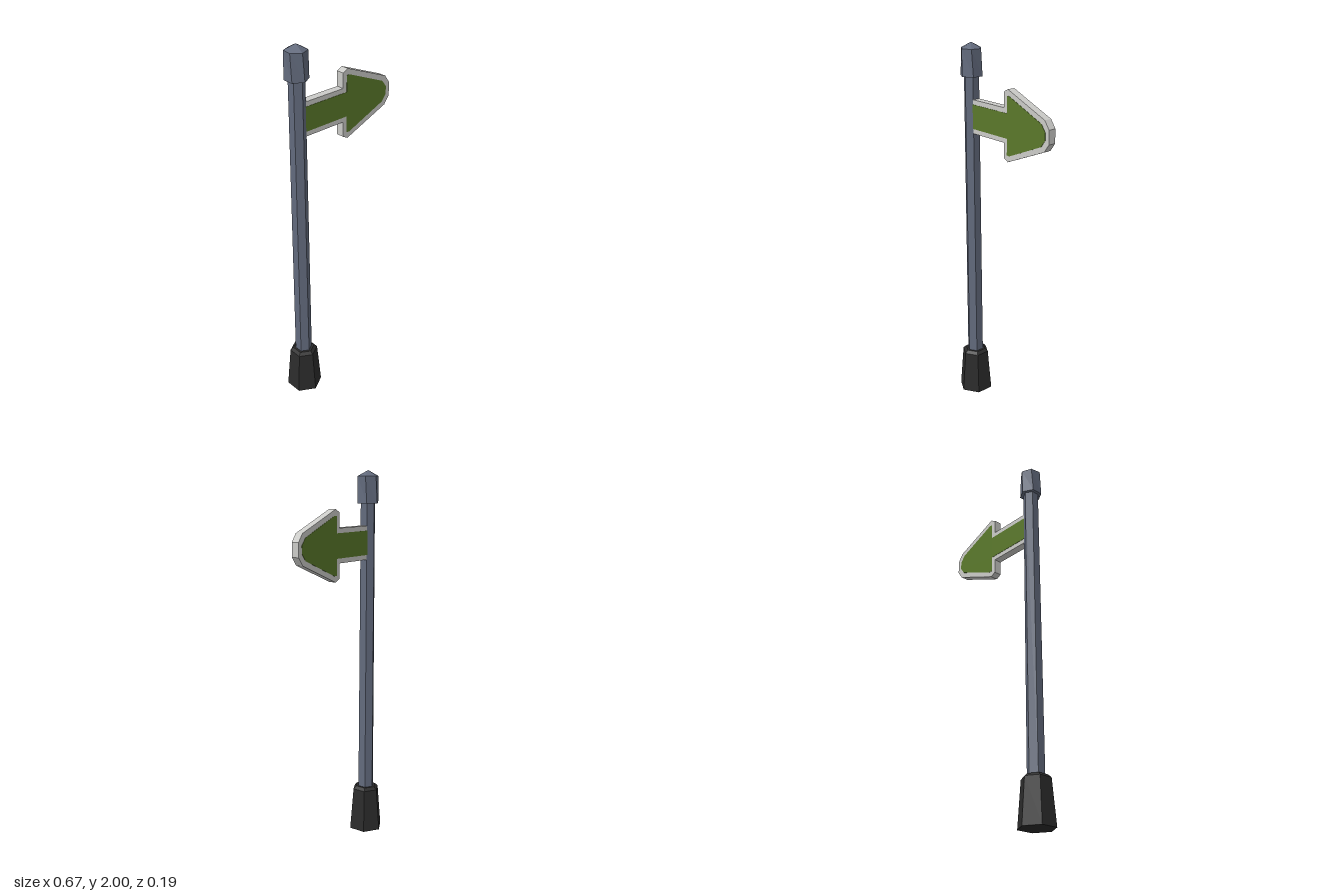
import * as THREE from 'three';

const poleX = -0.256;
const signY = 1.625;

const slate = new THREE.MeshStandardMaterial({ color: 0x626a7c });
slate.name = 'slate';
const black = new THREE.MeshStandardMaterial({ color: 0x2b2b2b });
black.name = 'black';
const silver = new THREE.MeshStandardMaterial({ color: 0xcbcbc8 });
silver.name = 'silver';
const green = new THREE.MeshStandardMaterial({ color: 0x5a782a });
green.name = 'green';

// Six-sided faceted part turned from a [radius, height] profile, with an optional twist rule
function hexPart(name, profile, material, twist = () => 0) {
  let geo = new THREE.LatheGeometry(profile.map(([r, y]) => new THREE.Vector2(r, y)), 6);
  const pos = geo.attributes.position;
  const v = new THREE.Vector3();
  const up = new THREE.Vector3(0, 1, 0);
  for (let i = 0; i < pos.count; i++) {
    v.fromBufferAttribute(pos, i);
    v.applyAxisAngle(up, twist(v.y));
    pos.setXYZ(i, v.x, v.y, v.z);
  }
  geo = geo.toNonIndexed();
  geo.computeVertexNormals();
  const mesh = new THREE.Mesh(geo, material);
  mesh.name = name;
  mesh.position.x = poleX;
  return mesh;
}

// Arrow plate mirrored about its centre line from the upper half of its outline
function arrowPlate(name, upper, depth, z, material) {
  const lower = upper.map(([x, y]) => [x, -y]).reverse();
  const shape = new THREE.Shape([...upper, ...lower].map(([x, y]) => new THREE.Vector2(x, y)));
  const geo = new THREE.ExtrudeGeometry(shape, { depth, bevelEnabled: false });
  geo.translate(0, 0, -depth / 2);
  const mesh = new THREE.Mesh(geo, material);
  mesh.name = name;
  mesh.position.set(0, signY, z);
  return mesh;
}

export function createModel() {
  const model = new THREE.Group();
  model.name = 'signpost';

  // Post: tapered foot, slim pole and pointed cap
  model.add(hexPart('foot', [[0, 0], [0.095, 0], [0.075, 0.235], [0.058, 0.25], [0, 0.25]], black));
  model.add(hexPart('pole', [[0.045, 0.2], [0.041, 1.86]], slate));
  model.add(hexPart('cap', [[0, 1.83], [0.06, 1.83], [0.057, 1.97], [0, 2]], slate,
    (y) => (y > 1.9 ? -0.14 : 0)));

  // Arrow board with a green panel on both faces
  const sign = new THREE.Group();
  sign.name = 'arrowSign';
  const outline = [[-0.24, 0.089], [0.016, 0.089], [0.016, 0.168], [0.046, 0.184],
    [0.305, 0.078], [0.335, 0.036]];
  const panel = [[-0.238, 0.064], [0.04, 0.064], [0.04, 0.15], [0.058, 0.151],
    [0.284, 0.056], [0.311, 0.02]];
  sign.add(arrowPlate('board', outline, 0.042, 0, silver));
  for (const side of [1, -1]) {
    sign.add(arrowPlate(side > 0 ? 'frontPanel' : 'backPanel', panel, 0.003, side * 0.021, green));
  }
  model.add(sign);
  return model;
}
